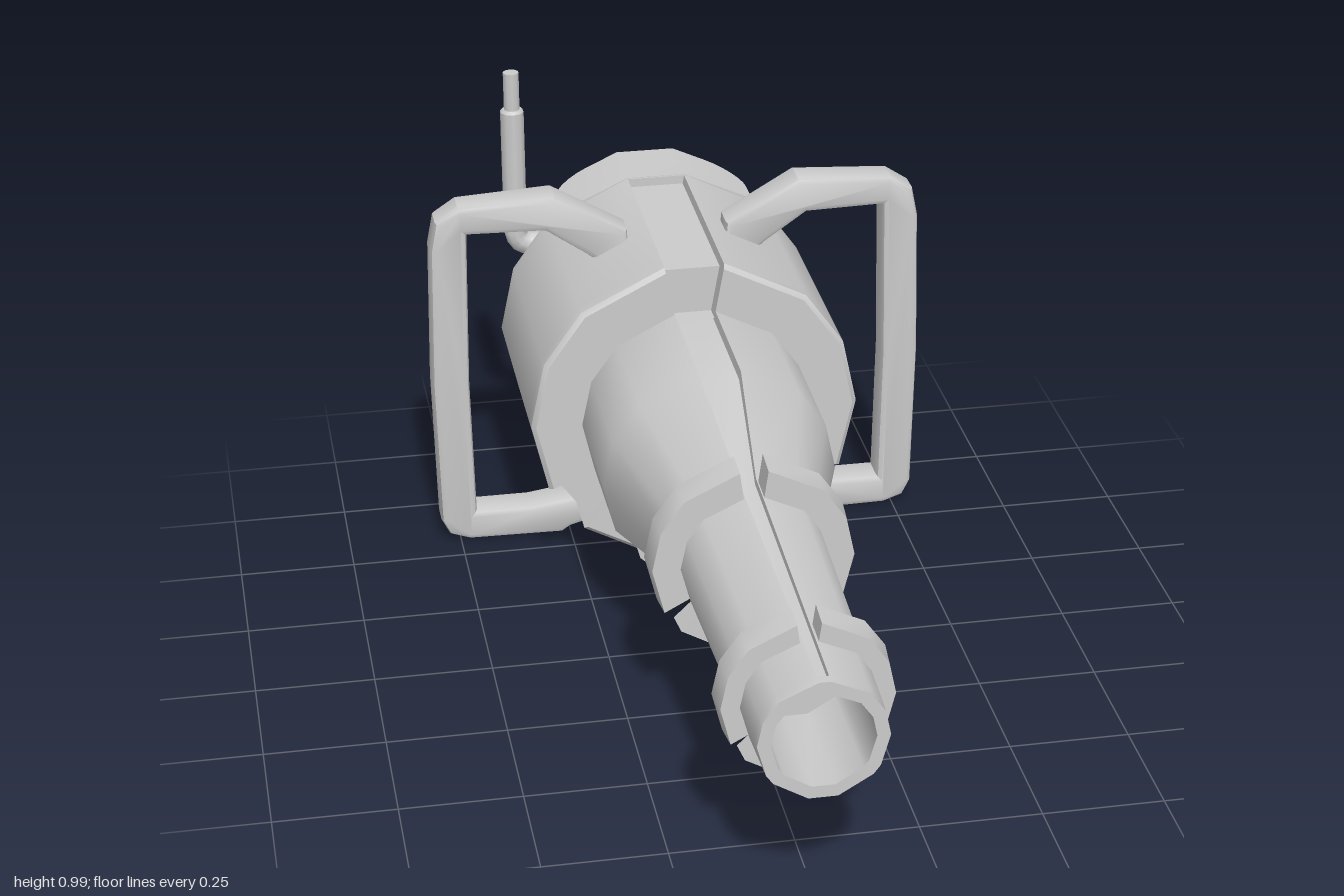
import * as THREE from 'three';
import { toCreasedNormals } from 'three/addons/utils/BufferGeometryUtils.js';

const AXIS_Y = 0.39;
const material = new THREE.MeshStandardMaterial({ color: 0xcccccc, side: THREE.DoubleSide });

function mesh(name, geometry, parent) {
  const m = new THREE.Mesh(geometry, material);
  m.name = name;
  parent.add(m);
  return m;
}

// Skin a list of equal-length closed rings of Vector3
function skin(rings, crease = 0.62) {
  const n = rings[0].length, pos = [], idx = [];
  for (const ring of rings) for (const p of ring) pos.push(p.x, p.y, p.z);
  for (let k = 0; k < rings.length - 1; k++) {
    for (let i = 0; i < n; i++) {
      const a = k * n + i, b = k * n + (i + 1) % n;
      idx.push(a, b, b + n, a, b + n, a + n);
    }
  }
  const g = new THREE.BufferGeometry();
  g.setAttribute('position', new THREE.Float32BufferAttribute(pos, 3));
  g.setIndex(idx);
  return toCreasedNormals(g, crease);
}

// Faceted round section with three grooves: radius r, groove half-angle a, groove depth d
function groovedRing([z, r, a, d]) {
  const ring = [];
  const put = (angle, radius) => ring.push(
    new THREE.Vector3(Math.cos(angle) * radius, AXIS_Y + Math.sin(angle) * radius, z));
  const plain = (...degrees) => degrees.forEach(t => put(THREE.MathUtils.degToRad(t), r));
  const groove = degrees => {
    const c = THREE.MathUtils.degToRad(degrees);
    put(c - a, r); put(c - a, r - d); put(c + a, r - d); put(c + a, r);
  };
  plain(0, 24, 47); groove(90); plain(133, 156, 180);
  groove(216); plain(257, 283); groove(324);
  return ring;
}
const grooved = stations => skin(stations.map(groovedRing));

// Rear block: drum outline cut to a half-width that rounds off toward the back
function rearBlock() {
  const top = x => x <= 0.065 ? 0.745 : 0.745 - (x - 0.065) * 0.46;
  const bottom = x => x <= 0.08 ? 0.043 : 0.043 + (x - 0.08) * 0.57;
  const section = (z, w) => [
    [w, bottom(w)], [w, top(w)], [0.065, top(0)], [-0.065, top(0)],
    [-w, top(w)], [-w, bottom(w)], [-0.08, bottom(0)], [0.08, bottom(0)],
  ].map(([x, y]) => new THREE.Vector3(x, y, z));
  const centre = z => Array.from({ length: 8 }, () => new THREE.Vector3(0, AXIS_Y, z));
  const rings = [centre(-1)];
  const R = 0.085;
  for (let i = 0; i <= 6; i++) {
    const t = i / 6 * Math.PI / 2;
    rings.push(section(-1 + R * (1 - Math.cos(t)), 0.222 - R * (1 - Math.sin(t))));
  }
  rings.push(section(-0.845, 0.222), centre(-0.845));
  return skin(rings);
}

// C-shaped carrying handle on the +x side
function handleGeometry() {
  const outline = [
    [0.1, 0.06], [0.25, 0.018], [0.27, 0.005], [0.48, 0.008], [0.525, 0.024], [0.543, 0.06],
    [0.55, 0.4], [0.543, 0.725], [0.53, 0.79], [0.48, 0.823], [0.27, 0.835], [0.11, 0.742],
    [0.1, 0.61], [0.2, 0.69], [0.29, 0.753], [0.462, 0.757],
    [0.468, 0.4], [0.462, 0.08], [0.34, 0.08], [0.2, 0.1], [0.1, 0.13],
  ].map(p => new THREE.Vector2(...p));
  const g = new THREE.ExtrudeGeometry(new THREE.Shape(outline), {
    depth: 0.05, bevelEnabled: true, bevelThickness: 0.016,
    bevelSize: 0.013, bevelOffset: -0.013, bevelSegments: 2,
  });
  g.translate(0, 0, -0.625);
  return toCreasedNormals(g, 0.5);
}

export function createModel() {
  const model = new THREE.Group();
  model.name = 'nozzle';

  // Large drum: long shallow slots, deep wedge notches at the front lip
  mesh('drum', grooved([
    [-0.86, 0, 0.18, 0], [-0.86, 0.36, 0.18, 0],
    [-0.84, 0.36, 0.18, 0], [-0.84, 0.36, 0.18, 0.02],
    [-0.38, 0.36, 0.18, 0.02], [-0.38, 0.36, 0.18, 0.125],
    [-0.35, 0.36, 0.18, 0.125], [-0.34, 0.35, 0.18, 0.115], [-0.34, 0.235, 0.18, 0],
  ]), model);

  // Tapered barrel with tapering grooves and a hollow muzzle
  mesh('barrel', grooved([
    [-0.38, 0.25, 0.18, 0.02], [-0.05, 0.248, 0.18, 0.02],
    [0.25, 0.152, 0.12, 0.014], [0.98, 0.127, 0.09, 0.012],
    [0.98, 0.127, 0.09, 0], [1, 0.126, 0.09, 0],
    [1, 0.1, 0.09, 0], [0.75, 0.1, 0.09, 0], [0.75, 0, 0.09, 0],
  ]), model);

  // Two notched collars
  for (const [name, z0, z1, r] of [['rearCollar', 0.26, 0.325, 0.213], ['frontCollar', 0.8, 0.86, 0.174]]) {
    const inner = r > 0.2 ? 0.135 : 0.118;
    mesh(name, grooved([
      [z0, inner, 0.14, 0], [z0, r, 0.14, r - inner],
      [z1, r - 0.006, 0.14, r - 0.006 - inner], [z1, inner, 0.14, 0],
    ]), model);
  }

  mesh('rearBlock', rearBlock(), model);

  // Side handles; the second is the first turned half way about the vertical
  const handle = handleGeometry();
  mesh('leftHandle', handle, model);
  const right = mesh('rightHandle', handle, model);
  right.rotation.y = Math.PI;
  right.position.z = -1.2;

  // Upright rod with a bent foot entering the rear block
  const rod = new THREE.Group();
  rod.name = 'rod';
  model.add(rod);
  const bend = new THREE.CurvePath();
  const pts = [[-0.2, 0.575], [-0.285, 0.575], [-0.307, 0.584], [-0.315, 0.605], [-0.315, 0.9]]
    .map(([x, y]) => new THREE.Vector3(x, y, -0.91));
  bend.add(new THREE.LineCurve3(pts[0], pts[1]));
  bend.add(new THREE.CubicBezierCurve3(pts[1], pts[2], pts[2], pts[3]));
  bend.add(new THREE.LineCurve3(pts[3], pts[4]));
  mesh('rodBase', new THREE.TubeGeometry(bend, 32, 0.027, 10), rod);
  const shoulder = new THREE.CylinderGeometry(0.022, 0.027, 0.006, 10);
  mesh('rodShoulder', shoulder, rod).position.set(-0.315, 0.903, -0.91);
  const tip = new THREE.CylinderGeometry(0.018, 0.018, 0.1, 10);
  mesh('rodTip', tip, rod).position.set(-0.315, 0.943, -0.91);

  return model;
}
